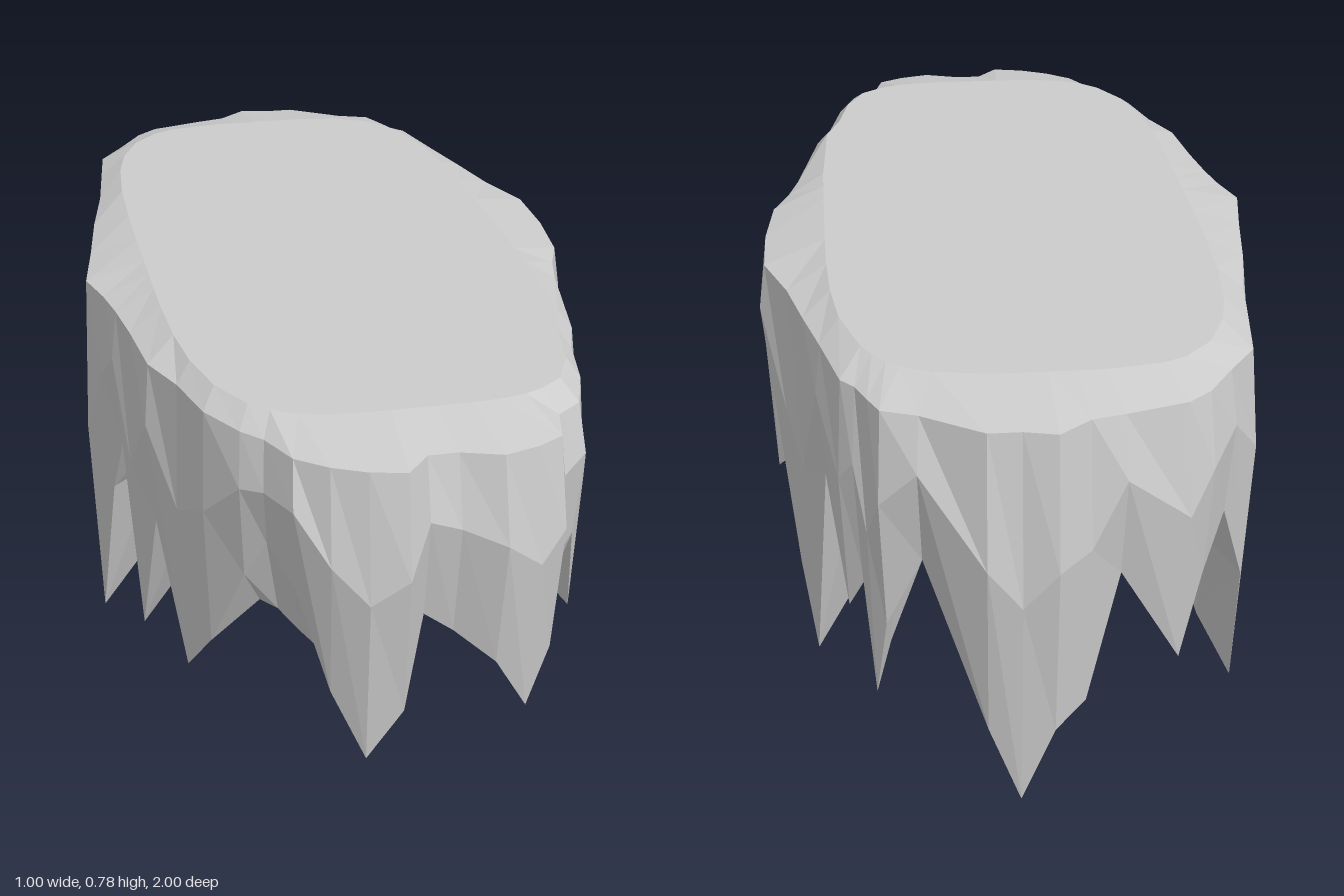
import * as THREE from 'three';

// Outline of the slab as [x, z, y of the lower edge], counterclockwise from the front.
const front = [
  [-0.125, 0.985, 0.19], [-0.06, 1, 0.29], [-0.015, 0.945, 0.45], [0.04, 0.945, 0.41], [0.115, 0.97, 0.35],
  [0.18, 0.95, 0.24], [0.23, 0.92, 0.34], [0.25, 0.84, 0.46], [0.3, 0.8, 0.5],
];
const leftSide = [
  [0.335, 0.7, 0.29], [0.36, 0.57, 0.57], [0.39, 0.48, 0.43], [0.435, 0.23, 0.09], [0.455, 0.15, 0.34],
  [0.485, 0.07, 0.57], [0.5, -0.08, 0.24], [0.5, -0.23, 0.55], [0.455, -0.36, 0.17], [0.425, -0.49, 0.05],
  [0.395, -0.61, 0.5], [0.36, -0.76, 0.31],
];
const back = [
  [0.335, -0.79, 0.4], [0.315, -0.84, 0.17], [0.295, -0.885, 0.34], [0.23, -0.91, 0.48], [0.12, -0.985, 0.17],
  [0.06, -0.985, 0.015], [0, -1, 0.17], [-0.06, -0.95, 0.2], [-0.12, -0.935, 0.45], [-0.235, -0.9, 0.25],
  [-0.28, -0.86, 0.4],
];
const rightSide = [
  [-0.33, -0.78, 0.48], [-0.385, -0.7, 0.3], [-0.4, -0.585, 0], [-0.42, -0.43, 0.3], [-0.45, -0.27, 0.43],
  [-0.475, -0.1, 0.06], [-0.5, 0.05, 0.01], [-0.475, 0.14, 0.34], [-0.46, 0.22, 0.48], [-0.445, 0.33, 0.13],
  [-0.43, 0.48, 0.44], [-0.39, 0.58, 0.18], [-0.36, 0.7, 0.3], [-0.31, 0.79, 0.48], [-0.275, 0.83, 0.56],
  [-0.24, 0.91, 0.51], [-0.185, 0.955, 0.32],
];

// Flat-shaded skin through rings of equal length; the first and last ring are single points.
function loft(rings) {
  const n = rings[0].length;
  const index = [];
  for (let r = 0; r < rings.length - 1; r++) {
    for (let i = 0; i < n; i++) {
      const j = (i + 1) % n;
      const a = r * n + i, b = a + n, c = (r + 1) * n + j, d = r * n + j;
      if (r > 0) index.push(a, c, d);
      if (r < rings.length - 2) index.push(a, b, c);
    }
  }
  const geo = new THREE.BufferGeometry();
  geo.setAttribute('position', new THREE.Float32BufferAttribute(rings.flat(2), 3));
  geo.setIndex(index);
  const flat = geo.toNonIndexed();
  flat.computeVertexNormals();
  return flat;
}

// Height of the inner shoulder behind a point of the lower edge: webs join the spikes at the front corners.
function shoulderHeight(x, z, y) {
  if (z > 0.68 && x > 0.2) return 0.34;
  if (z > 0.68 && x < -0.2) return 0.4;
  return Math.min(0.5, y + (0.5 - y) * 0.24);
}

export function createModel() {
  const outline = [...front, ...leftSide, ...back, ...rightSide];
  const ring = (fn) => outline.map(([x, z, y]) => fn(x, z, y));
  const ceiling = 0.57;

  const rings = [
    // Flat top with a rounded-oblong border
    ring(() => [0, 0.783, 0]),
    ring((x, z) => {
      const s = Math.min(0.92, ((x / 0.37) ** 4 + (z / 0.79) ** 4) ** -0.25);
      return [x * s, 0.783, z * s];
    }),
    // Bevelled rim, then a bulge that sits higher above the notches than above the spikes
    ring((x, z) => [x * 0.975, 0.755, z * 0.965]),
    ring((x, z, y) => [x, Math.min(0.67, 0.43 + y * 0.48), z]),
    // Jagged lower edge, drawn in a little at both ends
    ring((x, z, y) => [x * 0.97, y, z * (1 - 0.04 * z * z)]),
    // Inner shoulders that give the spikes their thickness
    ring((x, z, y) => [x * (0.79 + 0.18 * z ** 4), shoulderHeight(x, z, y), z * 0.92]),
    // Recessed underside
    ring((x, z) => [x * 0.45, ceiling, z * 0.74]),
    ring(() => [0, ceiling, 0]),
  ];

  const material = new THREE.MeshStandardMaterial({ color: 0xcccccc, flatShading: true });
  const slab = new THREE.Mesh(loft(rings), material);
  slab.name = 'slabWithHangingSpikes';

  const group = new THREE.Group();
  group.name = 'hangingSpikeSlab';
  group.add(slab);
  return group;
}
